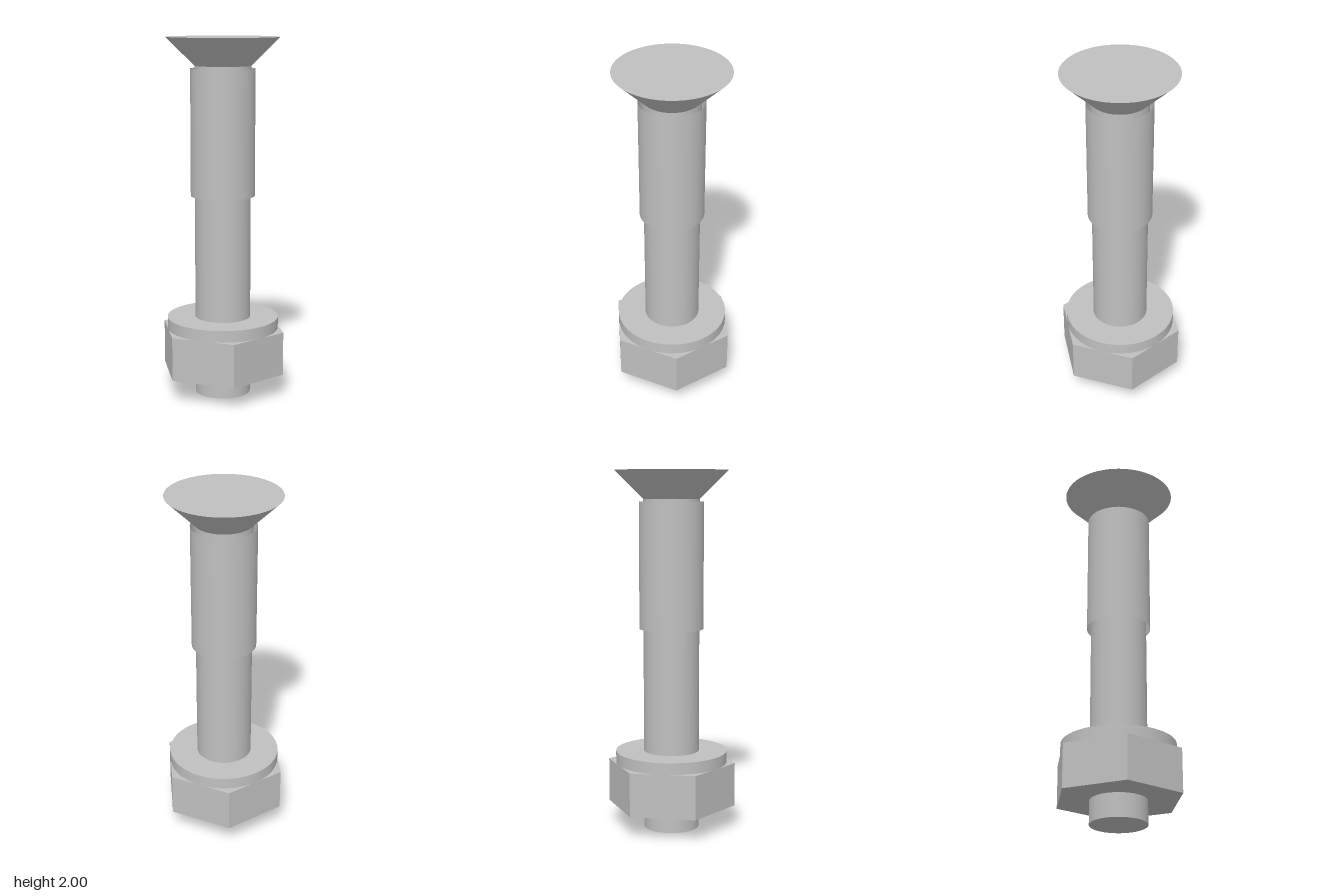
import * as THREE from 'three';

const SEGMENTS = 96;
const SHAFT_R = 0.155;

export function createModel() {
  const group = new THREE.Group();
  group.name = 'countersunkBolt';

  const steel = new THREE.MeshStandardMaterial({ color: 0xc0c0c0 });
  steel.name = 'steel';
  const sleeveSteel = steel.clone(); // same colour, visible inside the open tube
  sleeveSteel.name = 'steel';
  sleeveSteel.side = THREE.DoubleSide;

  const add = (name, geometry, material = steel) => {
    const mesh = new THREE.Mesh(geometry, material);
    mesh.name = name;
    group.add(mesh);
    return mesh;
  };

  // Round part spanning y0..y1
  const round = (name, rBottom, rTop, y0, y1, open = false, material = steel) => {
    const g = new THREE.CylinderGeometry(rTop, rBottom, y1 - y0, SEGMENTS, 1, open);
    g.translate(0, (y0 + y1) / 2, 0);
    return add(name, g, material);
  };

  round('shaft', SHAFT_R, SHAFT_R, 0, 1.845);
  round('countersunkHead', SHAFT_R, 0.312, 1.845, 2);
  round('sleeve', 0.178, 0.178, 1.13, 1.83, true, sleeveSteel);
  round('washer', 0.312, 0.312, 0.375, 0.44);

  // Hexagonal nut with a bore, corners on the x axis
  const hex = new THREE.Shape();
  for (let i = 0; i < 6; i++) {
    const a = (i * Math.PI) / 3;
    const x = 0.36 * Math.cos(a), y = 0.36 * Math.sin(a);
    if (i === 0) hex.moveTo(x, y);
    else hex.lineTo(x, y);
  }
  hex.closePath();
  const bore = new THREE.Path();
  bore.absarc(0, 0, SHAFT_R - 0.002, 0, Math.PI * 2, true);
  hex.holes.push(bore);
  const nut = new THREE.ExtrudeGeometry(hex, { depth: 0.245, bevelEnabled: false, curveSegments: 48 });
  nut.rotateX(-Math.PI / 2);
  nut.translate(0, 0.13, 0);
  add('hexNut', nut);

  return group;
}
